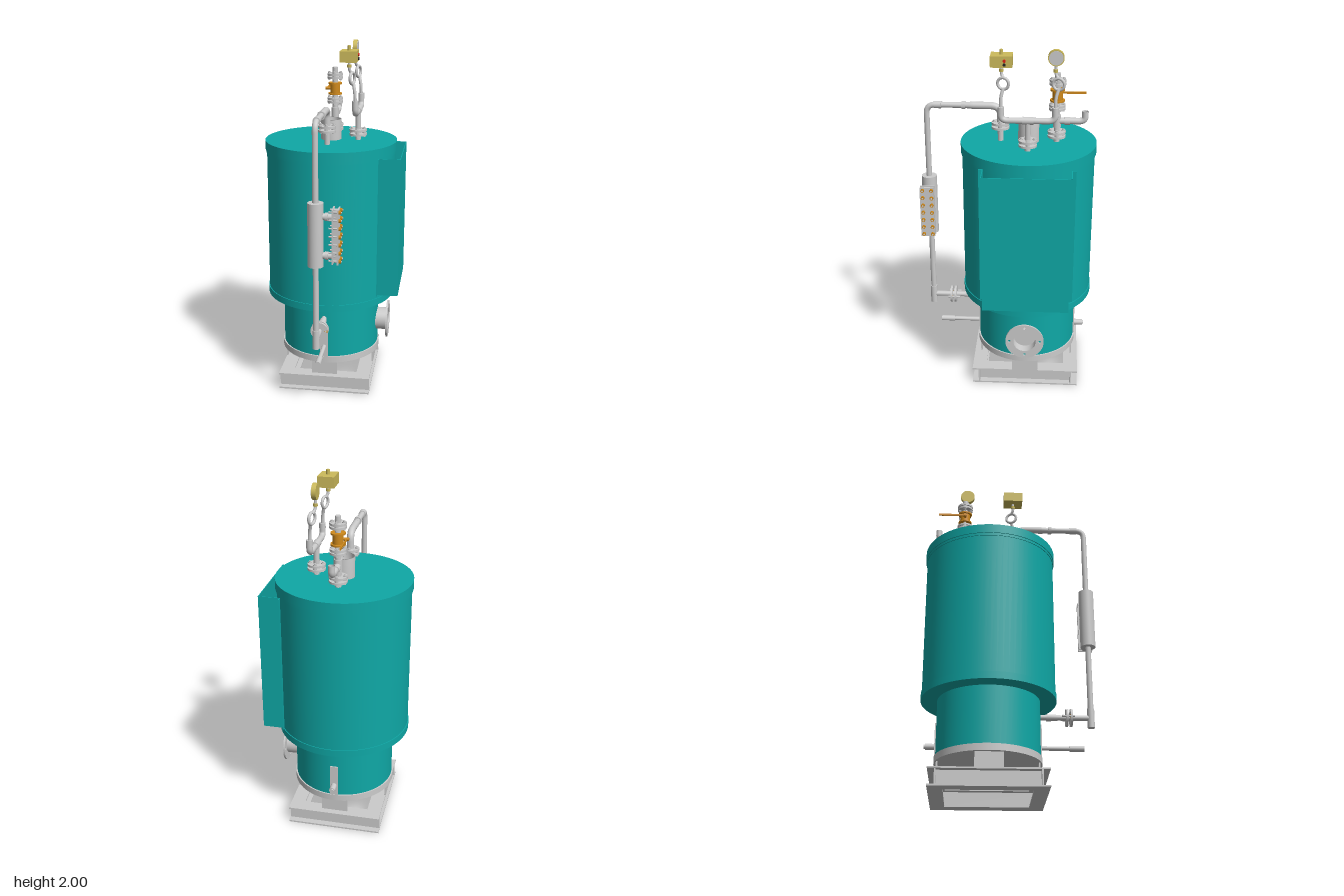
import * as THREE from 'three';

const mat = (color, side = THREE.FrontSide) => new THREE.MeshStandardMaterial({ color, side });
const grey = mat(0xcccccc, THREE.DoubleSide);
const teal = mat(0x0fa8a6, THREE.DoubleSide);
const brass = mat(0xcdbb5c);
const orange = mat(0xd08a1c);
const CX = -0.02, CZ = -0.113; // boiler axis

export function createModel() {
  const root = new THREE.Group();
  const add = (name, geo, m, x = 0, y = 0, z = 0) => {
    const mesh = new THREE.Mesh(geo, m);
    mesh.name = name;
    mesh.position.set(x, y, z);
    root.add(mesh);
    return mesh;
  };
  const box = (name, w, h, d, x, y, z, m = grey) => add(name, new THREE.BoxGeometry(w, h, d), m, x, y, z);
  const orient = (o, axis) => {
    if (axis === 'x') o.rotation.z = -Math.PI / 2;
    if (axis === 'z') o.rotation.x = Math.PI / 2;
    return o;
  };
  // cylinder centred on a point, along an axis
  const cyl = (name, r, h, x, y, z, axis = 'y', m = grey, seg = 24, r2 = r) =>
    orient(add(name, new THREE.CylinderGeometry(r2, r, h, seg), m, x, y, z), axis);
  // tube along straight runs joined by rounded bends
  const pipe = (name, pts, r, bend = 0.04, n = 80) => {
    const p = pts.map((a) => new THREE.Vector3(...a));
    const path = new THREE.CurvePath();
    let last = p[0];
    for (let i = 1; i < p.length - 1; i++) {
      const toward = (q) => p[i].clone().add(q.clone().sub(p[i]).setLength(Math.min(bend, q.distanceTo(p[i]) * 0.48)));
      const a = toward(p[i - 1]), b = toward(p[i + 1]);
      path.add(new THREE.LineCurve3(last, a));
      path.add(new THREE.QuadraticBezierCurve3(a, p[i], b));
      last = b;
    }
    path.add(new THREE.LineCurve3(last, p[p.length - 1]));
    return add(name, new THREE.TubeGeometry(path, n, r, 14, false), grey);
  };
  // two bolted discs
  const flangePair = (name, x, y, z, axis = 'y', r = 0.05, boltMat = grey, count = 4, gap = 0.024) => {
    const g = new THREE.Group();
    g.name = name;
    for (const s of [-1, 1]) {
      const disc = new THREE.Mesh(new THREE.CylinderGeometry(r, r, 0.012, 28), grey);
      disc.name = 'flangeDisc';
      disc.position.y = s * gap / 2;
      g.add(disc);
    }
    for (let i = 0; i < count; i++) {
      const a = (i / count) * Math.PI * 2;
      for (const [br, len, seg] of [[0.006, gap + 0.034, 10], [0.011, gap + 0.022, 6]]) {
        const bolt = new THREE.Mesh(new THREE.CylinderGeometry(br, br, len, seg), boltMat);
        bolt.name = 'flangeBolt';
        bolt.position.set(Math.cos(a) * r * 0.72, 0, Math.sin(a) * r * 0.72);
        g.add(bolt);
      }
    }
    g.position.set(x, y, z);
    root.add(orient(g, axis));
  };

  // Base frame of I-beams
  for (const s of [-1, 1]) {
    const z = CZ + s * 0.272, x = CX + s * 0.226;
    box('frameWeb', 0.53, 0.09, 0.008, CX, 0.05, z);
    box('sideFrameWeb', 0.008, 0.09, 0.544, x, 0.05, CZ);
    for (const y of [0.005, 0.095]) {
      box('frameFlange', 0.534, 0.009, 0.08, CX, y, z);
      box('sideFrameFlange', 0.08, 0.009, 0.47, x, y, CZ);
    }
    box('supportLeg', 0.15, 0.09, 0.008, CX, 0.14, z);
    box('sideSupportLeg', 0.008, 0.09, 0.15, CX + s * 0.263, 0.14, CZ);
  }

  // Boiler vessel
  cyl('baseRing', 0.292, 0.037, CX, 0.198, CZ, 'y', grey, 64);
  cyl('lowerShell', 0.284, 0.33, CX, 0.38, CZ, 'y', teal, 64);
  cyl('upperShell', 0.37, 0.88, CX, 0.98, CZ, 'y', teal, 72);
  cyl('lowerBand', 0.375, 0.04, CX, 0.555, CZ, 'y', teal, 72);
  cyl('lid', 0.378, 0.052, CX, 1.43, CZ, 'y', teal, 72);
  cyl('lidSeam', 0.374, 0.015, CX, 1.396, CZ, 'y', teal, 72);

  // Side cover: bent sheet, open above and below
  box('coverFace', 0.004, 0.8, 0.477, 0.396, 1, -0.117, teal);
  for (const s of [-1, 1]) {
    box('coverWall', 0.12, 0.8, 0.004, 0.337, 1, -0.117 + s * 0.238, teal);
    box('coverLip', 0.004, 0.8, 0.024, 0.279, 1, -0.117 + s * 0.249, teal);
  }

  // Hand hole with bolted rim
  const rim = new THREE.Shape().absarc(0, 0, 0.11, 0, Math.PI * 2);
  const hole = (x, y, r) => rim.holes.push(new THREE.Path().absarc(x, y, r, 0, Math.PI * 2, true));
  hole(0, 0, 0.064);
  for (let i = 0; i < 4; i++) hole(0.088 * Math.cos(i * Math.PI / 2), 0.088 * Math.sin(i * Math.PI / 2), 0.008);
  add('handHoleRim', new THREE.ExtrudeGeometry(rim, { depth: 0.01, bevelEnabled: false, curveSegments: 32 }), grey, 0.32, 0.355, CZ).rotation.y = Math.PI / 2;
  orient(add('handHoleNeck', new THREE.CylinderGeometry(0.066, 0.066, 0.09, 32, 1, true), grey, 0.284, 0.355, CZ), 'x');
  cyl('handHolePlate', 0.065, 0.008, 0.268, 0.355, CZ, 'x', grey, 32);

  // Drains, front and back
  for (const s of [-1, 1]) box('drainPad', 0.046, 0.19, 0.012, CX, 0.312, CZ + s * 0.284);
  cyl('frontDrain', 0.012, 0.24, CX, 0.28, 0.28, 'z');
  cyl('frontDrainEnd', 0.016, 0.08, CX, 0.28, 0.368, 'z');
  cyl('backDrain', 0.012, 0.08, CX, 0.28, -0.42, 'z');
  cyl('backDrainEnd', 0.017, 0.05, CX, 0.28, -0.427, 'z');

  // Chimney stub
  add('chimney', new THREE.LatheGeometry([[0.058, 0], [0.058, 0.12], [0.052, 0.12], [0.052, 0.01], [0, 0.01]]
    .map((a) => new THREE.Vector2(...a)), 40), grey, CX, 1.452, CZ);

  // Front water column pipework
  flangePair('outletFlange', CX, 1.545, 0.043);
  cyl('outletNeck', 0.016, 0.1, CX, 1.5, 0.043);
  pipe('outletPipe', [[CX, 1.55, 0.043], [CX, 1.655, 0.043], [CX, 1.655, 0.2]], 0.02, 0.06);
  cyl('reducer', 0.02, 0.045, CX, 1.655, 0.218, 'z', grey, 24, 0.016);
  cyl('union', 0.024, 0.02, CX, 1.655, 0.247, 'z', grey, 8);
  pipe('columnPipe', [[CX, 1.655, 0.19], [CX, 1.655, 0.452], [CX, 0.4, 0.452]], 0.016, 0.05, 200);
  cyl('bendSocket', 0.02, 0.04, CX, 1.655, 0.39, 'z');
  cyl('waterColumn', 0.043, 0.352, CX, 1.058, 0.452, 'y', grey, 32);
  cyl('columnTee', 0.02, 0.11, CX, 0.455, 0.452);
  cyl('returnPipe', 0.015, 0.29, CX, 0.455, 0.31, 'z');
  cyl('returnReducer', 0.02, 0.06, CX, 0.455, 0.235, 'z', grey, 24, 0.017);
  flangePair('returnFlange', CX, 0.455, 0.33, 'z', 0.05, grey, 0);
  for (const s of [-1, 1]) {
    cyl('returnBolt', 0.006, 0.07, CX + s * 0.037, 0.455, 0.324, 'z', grey, 10);
    cyl('returnBoltHead', 0.012, 0.012, CX + s * 0.037, 0.455, 0.342, 'z', orange, 6);
  }

  // Level gauge beside the water column
  for (const y of [0.945, 1.16]) {
    cyl('gaugeArm', 0.018, 0.08, 0.05, y, 0.452, 'x');
    cyl('gaugeArmNut', 0.024, 0.016, 0.04, y, 0.452, 'x', grey, 8);
  }
  box('gaugeBody', 0.03, 0.29, 0.034, 0.09, 1.058, 0.452);
  box('gaugeBackPlate', 0.008, 0.3, 0.08, 0.074, 1.058, 0.452);
  box('gaugeFrontPlate', 0.008, 0.3, 0.08, 0.103, 1.058, 0.452);
  for (let i = 0; i < 7; i++) for (const s of [-1, 1]) {
    const y = 0.923 + i * 0.045, z = 0.45 + s * 0.025;
    cyl('gaugeBolt', 0.005, 0.07, 0.088, y, z, 'x', grey, 8);
    cyl('gaugeNut', 0.011, 0.012, 0.113, y, z, 'x', orange, 6);
  }

  // Instrument manifold
  const MX = 0.135;
  flangePair('manifoldFlange', MX, 1.5, CZ);
  cyl('manifoldRiser', 0.016, 0.17, MX, 1.535, CZ);
  pipe('manifold', [[MX, 1.69, 0.032], [MX, 1.625, 0.032], [MX, 1.625, -0.258], [MX, 1.69, -0.258]], 0.017, 0.04);
  cyl('manifoldTee', 0.021, 0.06, MX, 1.625, CZ, 'z');
  for (const [z, ringZ, topZ, topX] of [[0.032, 0.02, 0.03, 0.1], [-0.258, -0.272, -0.255, 0.1]]) {
    cyl('siphonSocket', 0.018, 0.03, MX, 1.685, z);
    pipe('siphonLower', [[MX, 1.68, z], [MX - 0.003, 1.75, z], [0.122, 1.795, ringZ]], 0.009, 0.03);
    const ring = add('siphonRing', new THREE.TorusGeometry(0.031, 0.008, 12, 32), grey, 0.116, 1.822, ringZ);
    ring.rotation.y = Math.PI / 2 - 0.3;
    pipe('siphonUpper', [[0.11, 1.85, ringZ], [topX, 1.87, topZ], [topX, 1.925, topZ]], 0.008, 0.02);
    cyl('siphonNut', 0.012, 0.016, topX, 1.89, topZ, 'y', brass, 6);
  }

  // Pressure switch
  box('pressureSwitch', 0.092, 0.06, 0.116, 0.1, 1.944, 0.029, brass);
  cyl('switchCap', 0.01, 0.026, 0.1, 1.987, 0.03, 'y', brass);
  cyl('redButton', 0.008, 0.008, 0.148, 1.95, 0.012, 'x', mat(0xdd2211), 16);
  cyl('blackButton', 0.008, 0.008, 0.148, 1.93, 0.012, 'x', mat(0x222222), 16);

  // Pressure gauge
  cyl('dialCase', 0.043, 0.024, 0.1, 1.96, -0.256, 'x', brass, 32);
  cyl('dialFace', 0.038, 0.003, 0.113, 1.96, -0.256, 'x', grey, 32);

  // Safety valve stack with lever and discharge elbow
  const VZ = -0.268;
  cyl('valveRiser', 0.016, 0.39, CX, 1.65, VZ);
  flangePair('valveBaseFlange', CX, 1.5, VZ);
  cyl('valveTee', 0.022, 0.07, CX, 1.575, VZ);
  for (const y of [1.655, 1.795]) flangePair('valveFlange', CX, y, VZ, 'y', 0.045, grey, 4, 0.018);
  cyl('valveBody', 0.029, 0.056, CX, 1.722, VZ, 'y', orange, 20);
  for (const y of [1.692, 1.752]) cyl('valveCollar', 0.04, 0.009, CX, y, VZ, 'y', orange, 20);
  cyl('valveStem', 0.009, 0.05, CX - 0.032, 1.722, VZ, 'x', orange, 12);
  box('valveLever', 0.006, 0.012, 0.16, -0.066, 1.722, -0.345, orange);
  pipe('dischargePipe', [[CX, 1.575, VZ], [CX, 1.575, -0.422], [CX, 1.632, -0.422]], 0.018, 0.035);
  cyl('dischargeSocket', 0.022, 0.03, CX, 1.575, -0.325, 'z');

  return root;
}
